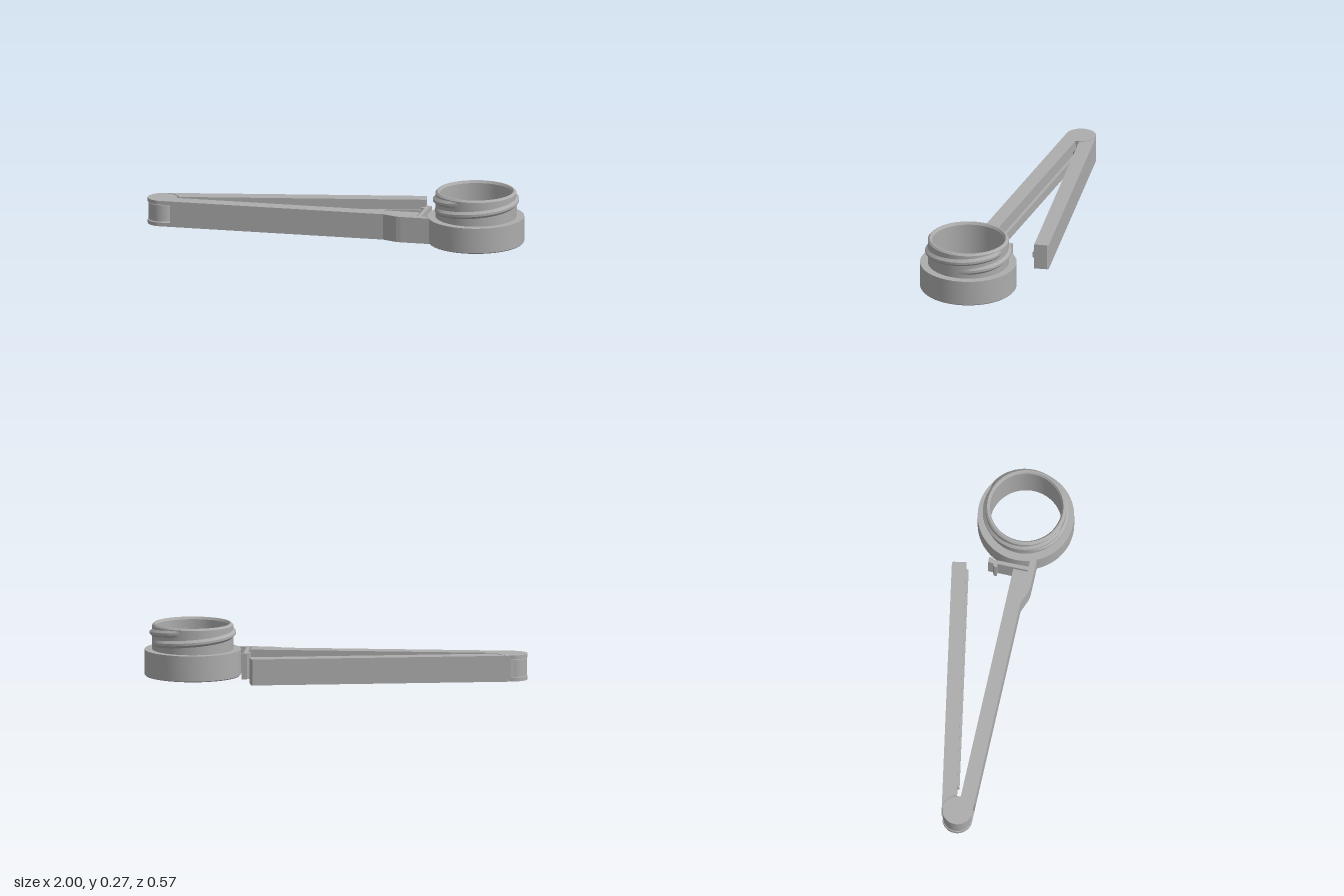
import * as THREE from 'three';
import { toCreasedNormals } from 'three/addons/utils/BufferGeometryUtils.js';

const H = 0.137;                          // height of the clip arms and base ring
const RING = { x: 0.749, z: 0.033 };      // spout axis
const PIVOT = { x: -0.922, z: 0.03 };     // hinge axis
const NECK_R = 0.211;

export function createModel() {
  const grey = new THREE.MeshStandardMaterial({ color: 0xacacac });
  grey.name = 'grey plastic';
  const root = new THREE.Group();
  root.name = 'pouringClip';

  const add = (parent, name, geometry) => {
    const mesh = new THREE.Mesh(geometry, grey);
    mesh.name = name;
    parent.add(mesh);
    return mesh;
  };
  // Plan outline of [x, z] points, extruded from y0 to y1
  const slab = (points, y0, y1) => {
    const shape = new THREE.Shape(points.map(([x, z]) => new THREE.Vector2(x, -z)));
    const geo = new THREE.ExtrudeGeometry(shape, { depth: y1 - y0, bevelEnabled: false });
    return geo.rotateX(-Math.PI / 2).translate(0, y0, 0);
  };
  const disc = (r, y0, y1) =>
    new THREE.CylinderGeometry(r, r, y1 - y0, 48).translate(0, (y0 + y1) / 2, 0);

  // Fixed arm: three layers, the middle one set back to leave a groove
  const fixedArm = new THREE.Group();
  fixedArm.name = 'fixedArm';
  root.add(fixedArm);
  const armOutline = (x0, inner) => [
    [x0, inner], [0.447, inner], [0.447, 0.107], [0.53, 0.107], [0.53, 0.14],
    [0.37, 0.14], [0.345, 0.137], [0.27, 0.108], [x0, 0.108],
  ];
  add(fixedArm, 'armLower', slab(armOutline(PIVOT.x, 0.031), 0, 0.02));
  add(fixedArm, 'armLowerLip', slab(armOutline(-0.865, 0.031), 0.02, 0.05));
  add(fixedArm, 'armGroove', slab(armOutline(-0.865, 0.047), 0.05, 0.087));
  add(fixedArm, 'armUpperLip', slab(armOutline(-0.865, 0.031), 0.087, 0.117));
  add(fixedArm, 'armUpper', slab(armOutline(PIVOT.x, 0.031), 0.117, H));
  for (const [name, y0, y1] of [['hingeLower', 0, 0.02], ['hingeUpper', 0.117, H]]) {
    add(fixedArm, name, disc(0.078, y0, y1)).position.set(PIVOT.x, 0, PIVOT.z);
  }

  // Latch post with barbed tip
  add(root, 'latch', slab([
    [0.455, 0.11], [0.455, -0.055], [0.437, -0.055], [0.437, -0.07], [0.455, -0.08],
    [0.455, -0.105], [0.484, -0.105], [0.484, -0.085], [0.475, -0.075], [0.475, 0.11],
  ], 0, H));

  // Swinging arm, opened ten degrees about the hinge
  const swingArm = new THREE.Group();
  swingArm.name = 'swingArm';
  swingArm.position.set(PIVOT.x, 0, PIVOT.z);
  swingArm.rotation.y = THREE.MathUtils.degToRad(10);
  root.add(swingArm);
  const hollow = [];                      // concave end that clears the hinge discs
  for (let i = 0; i <= 10; i++) {
    const a = THREE.MathUtils.lerp(0.07, Math.PI / 2 - 0.18, i / 10);
    hollow.push([0.083 * Math.cos(a), -0.083 * Math.sin(a)]);
  }
  const swingOutline = [...hollow, [1.368, -0.082], [1.375, -0.075], [1.375, -0.006]];
  add(swingArm, 'swingBeam', slab(swingOutline, 0, H));
  add(swingArm, 'knuckleWeb', slab([[0, -0.006], [0, -0.075], [0.03, -0.082], [0.1, -0.082], [0.1, -0.006]], 0.024, 0.113));
  add(swingArm, 'knuckle', disc(0.074, 0.024, 0.113));
  add(swingArm, 'sealingRidge', new THREE.BoxGeometry(1.21, 0.03, 0.014)).position.set(0.75, 0.0685, -0.001);

  // Base ring and bevelled neck
  const spout = new THREE.Group();
  spout.name = 'spout';
  spout.position.set(RING.x, 0, RING.z);
  root.add(spout);
  const profile = [
    [0.195, 0], [0.247, 0], [0.2515, 0.005], [0.2515, H], [NECK_R, H], [NECK_R, 0.265],
    [0.202, 0.274], [0.195, 0.274], [0.187, 0.262], [0.187, 0.008], [0.195, 0],
  ].map(([r, y]) => new THREE.Vector2(r, y));
  add(spout, 'ringAndNeck', toCreasedNormals(new THREE.LatheGeometry(profile, 96), 0.4));

  // Two-start screw thread, fading in and out of the neck
  const threadGeometry = () => {
    const pos = [], index = [], steps = 100, sweep = THREE.MathUtils.degToRad(258);
    for (let i = 0; i <= steps; i++) {
      const t = i / steps, a = t * sweep;
      const fade = Math.min(1, t / 0.2, (1 - t) / 0.07);
      const y = 0.168 + 0.079 * t, crest = NECK_R - 0.002 + 0.0155 * fade;
      for (const [r, dy] of [[NECK_R - 0.002, -0.021], [crest, -0.006], [crest, 0.006], [NECK_R - 0.002, 0.021]]) {
        pos.push(r * Math.cos(a), y + dy, -r * Math.sin(a));
      }
      if (i === steps) break;
      for (let j = 0; j < 3; j++) {
        const k = i * 4 + j;
        index.push(k, k + 4, k + 1, k + 4, k + 5, k + 1);
      }
    }
    const geo = new THREE.BufferGeometry();
    geo.setAttribute('position', new THREE.Float32BufferAttribute(pos, 3));
    geo.setIndex(index);
    return toCreasedNormals(geo, 0.4);
  };
  for (let i = 0; i < 2; i++) {
    add(spout, 'thread' + (i + 1), threadGeometry()).rotation.y = i * Math.PI;
  }
  return root;
}
